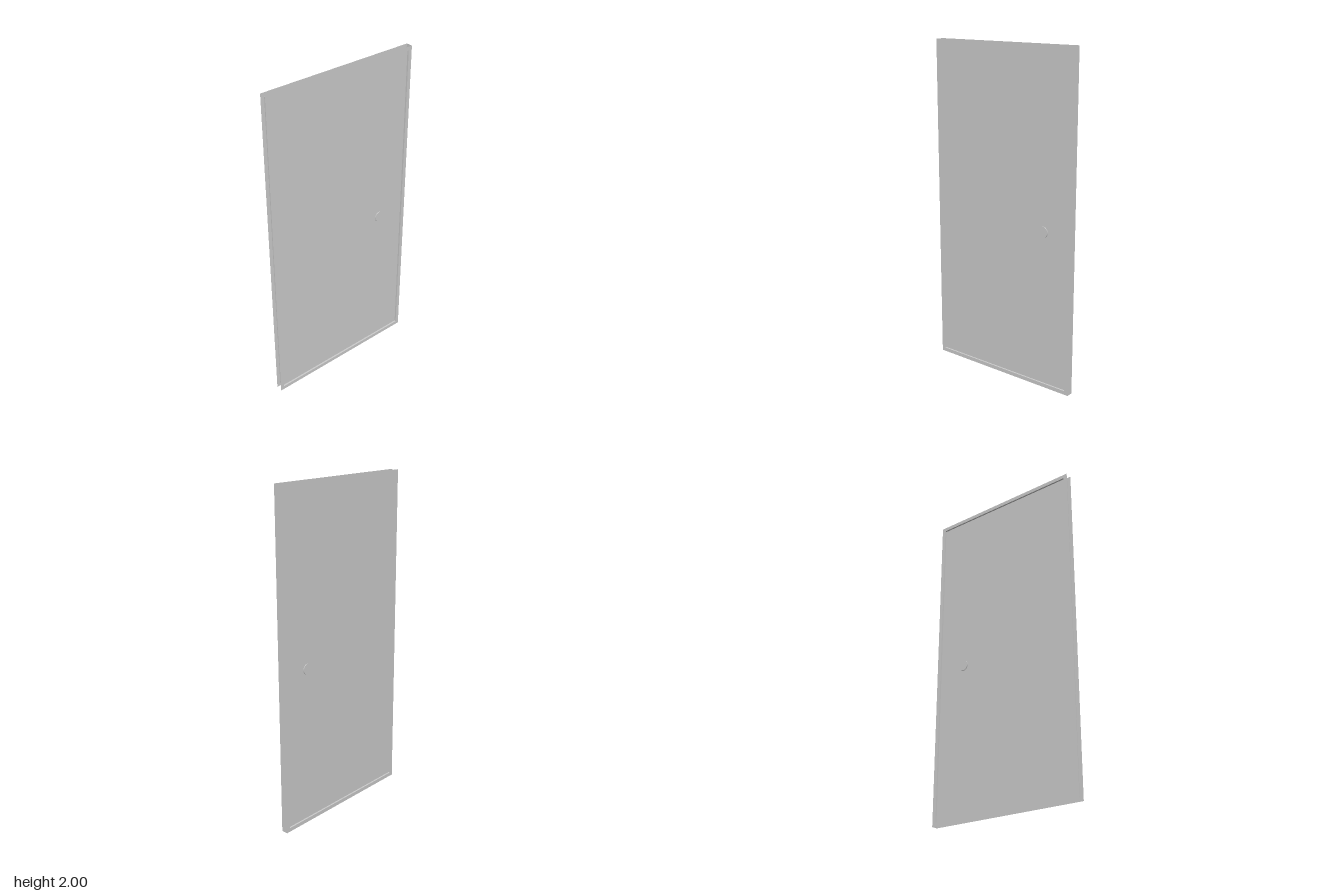
import * as THREE from 'three';

const W = 1, H = 2, D = 0.04;   // overall size
const RIM = 0.023;              // border width
const RECESS = 0.01;            // panel set-back

const material = new THREE.MeshStandardMaterial({ color: 0xcccccc, side: THREE.DoubleSide });

function add(parent, name, geometry, x, y, z) {
  const mesh = new THREE.Mesh(geometry, material);
  mesh.name = name;
  mesh.position.set(x, y, z);
  parent.add(mesh);
  return mesh;
}

function rectangle(PathType, w, h) {
  return new PathType([[-1, -1], [1, -1], [1, 1], [-1, 1]]
    .map(([x, y]) => new THREE.Vector2(x * w / 2, y * h / 2)));
}

// One skin of the door: flat border, recess walls and sunken panel, facing +z
function makeSkin(name) {
  const skin = new THREE.Group();
  skin.name = name;
  const w = W - 2 * RIM, h = H - 2 * RIM;

  const border = rectangle(THREE.Shape, W, H);
  border.holes.push(rectangle(THREE.Path, w, h));
  add(skin, 'border', new THREE.ShapeGeometry(border), 0, 0, D / 2);
  add(skin, 'panel', new THREE.PlaneGeometry(w, h), 0, 0, D / 2 - RECESS);

  const wallZ = (D - RECESS) / 2;
  for (const s of [-1, 1]) {
    add(skin, 'recessSide', new THREE.PlaneGeometry(RECESS, h), s * w / 2, 0, wallZ)
      .rotation.y = -s * Math.PI / 2;
    add(skin, 'recessEnd', new THREE.PlaneGeometry(w, RECESS), 0, s * h / 2, wallZ)
      .rotation.x = s * Math.PI / 2;
  }
  return skin;
}

export function createModel() {
  const door = new THREE.Group();
  door.name = 'door';

  // Matching skins on both faces
  const front = makeSkin('frontSkin');
  const back = makeSkin('backSkin');
  back.rotation.y = Math.PI;
  for (const skin of [front, back]) {
    skin.position.y = H / 2;
    door.add(skin);
  }

  // Closing edge on the handle side; the other edges are open
  add(door, 'closingEdge', new THREE.PlaneGeometry(D, H), W / 2, H / 2, 0)
    .rotation.y = Math.PI / 2;

  // Low round handle plate passing through both panels
  add(door, 'handlePlate', new THREE.CylinderGeometry(0.033, 0.033, 0.028, 32), 0.3, 0.953, 0)
    .rotation.x = Math.PI / 2;

  return door;
}
